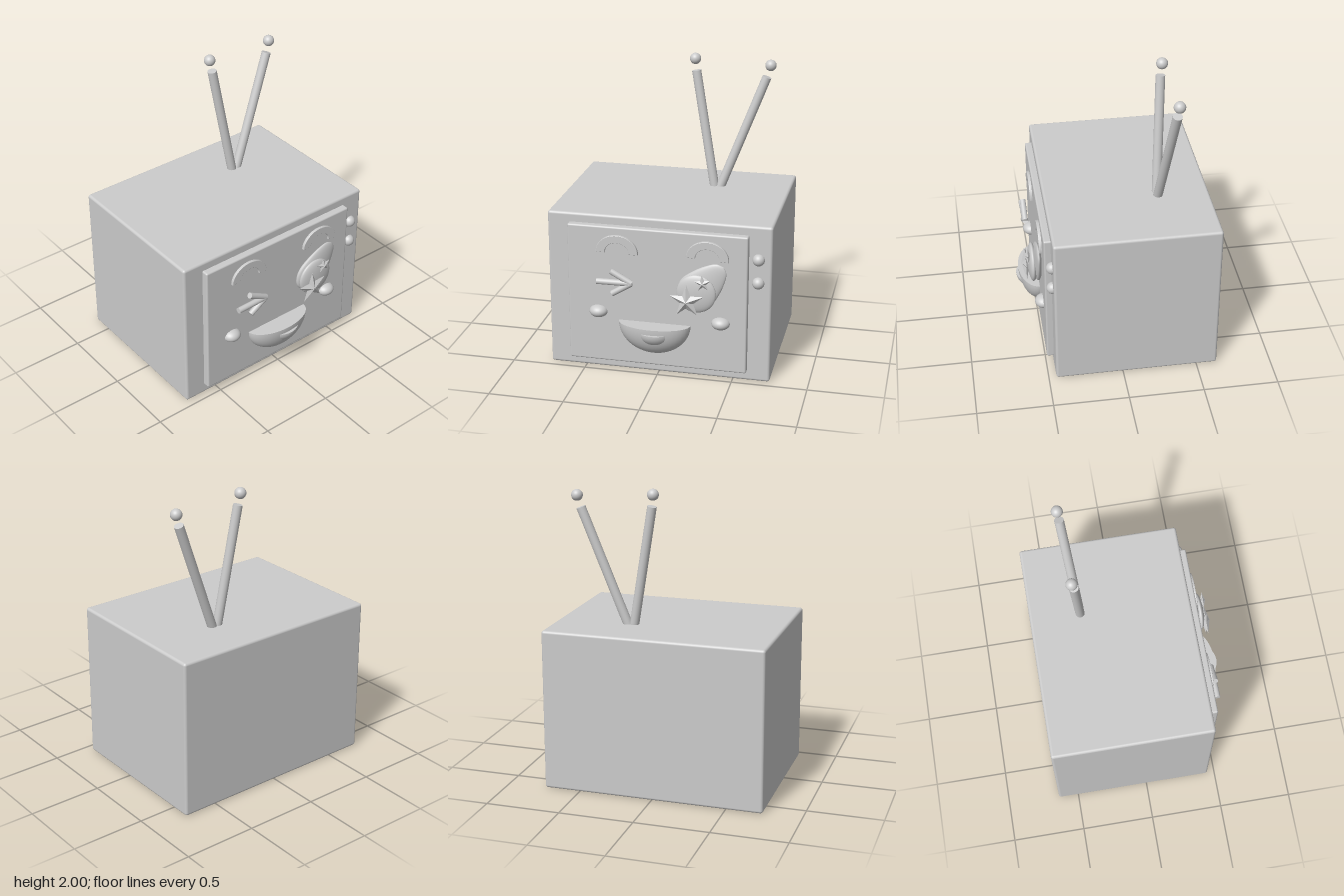
import * as THREE from 'three';
import { RoundedBoxGeometry } from 'three/addons/geometries/RoundedBoxGeometry.js';
import { mergeGeometries } from 'three/addons/utils/BufferGeometryUtils.js';

const grey = new THREE.MeshStandardMaterial({ color: 0xcccccc });
const flatGrey = new THREE.MeshStandardMaterial({ color: 0xcccccc, flatShading: true });

export function createModel() {
  const model = new THREE.Group();

  const add = (name, geometry, position = [0, 0, 0], material = grey) => {
    const mesh = new THREE.Mesh(geometry, material);
    mesh.name = name;
    mesh.position.set(...position);
    model.add(mesh);
    return mesh;
  };
  const ellipsoid = (name, position, rx, ry = rx, rz = rx) =>
    add(name, new THREE.SphereGeometry(1, 32, 20).scale(rx, ry, rz), position);
  // round rod between two points
  const rod = (name, from, to, radius) => {
    const a = new THREE.Vector3(...from), b = new THREE.Vector3(...to);
    const dir = b.clone().sub(a);
    const mesh = add(name, new THREE.CylinderGeometry(radius, radius, dir.length(), 24),
      a.add(b).multiplyScalar(0.5).toArray());
    mesh.quaternion.setFromUnitVectors(new THREE.Vector3(0, 1, 0), dir.normalize());
  };

  // cabinet and raised screen
  add('cabinet', new RoundedBoxGeometry(1.49, 1.085, 1.09, 4, 0.018), [0, 0.5475, -0.095]);
  add('screen', new RoundedBoxGeometry(1.195, 0.955, 0.12, 4, 0.012), [-0.0025, 0.55, 0.435]);

  // knobs
  for (const y of [0.865, 0.705]) ellipsoid('knob', [0.657, y, 0.45], 0.04);

  // antennas with floating tips
  rod('antennaRight', [0.232, 1.03, -0.296], [0.085, 1.885, -0.332], 0.031);
  rod('antennaLeft', [0.245, 1.03, -0.296], [0.562, 1.86, -0.352], 0.031);
  ellipsoid('antennaTipRight', [0.075, 1.963, -0.343], 0.038);
  ellipsoid('antennaTipLeft', [0.585, 1.938, -0.358], 0.038);

  // arched eyebrows
  const arch = new THREE.Shape();
  arch.absarc(0, 0, 0.137, 0, Math.PI, false);
  arch.absarc(0, 0, 0.083, Math.PI, 0, true);
  const browGeometry = new THREE.ExtrudeGeometry(arch, {
    depth: 0.022, curveSegments: 24, bevelSize: 0.003, bevelThickness: 0.004, bevelSegments: 2,
  }).scale(1, 0.86, 1);
  add('eyebrowRight', browGeometry, [-0.265, 0.856, 0.487]).rotation.z = -0.02;
  add('eyebrowLeft', browGeometry, [0.333, 0.861, 0.487]).rotation.z = -0.055;

  // winking eye
  const winkTip = [-0.158, 0.668, 0.548];
  rod('winkBar', [-0.39, 0.668, 0.553], winkTip, 0.02);
  rod('winkBar', [-0.295, 0.745, 0.55], winkTip, 0.02);
  rod('winkBar', [-0.287, 0.588, 0.55], winkTip, 0.02);

  // open eye: flattened egg behind a flattened disc
  const egg = new THREE.CatmullRomCurve3([
    [0, -0.128], [0.07, -0.11], [0.115, -0.06], [0.13, 0], [0.114, 0.09],
    [0.085, 0.17], [0.045, 0.235], [0, 0.255],
  ].map(([r, h]) => new THREE.Vector3(r, h, 0)));
  const profile = egg.getPoints(28).map(p => new THREE.Vector2(Math.max(p.x, 0), p.y));
  const eggGeometry = new THREE.LatheGeometry(profile, 32).scale(1, 1, 0.25).rotateZ(-0.75);
  add('eyeWhite', eggGeometry, [0.267, 0.635, 0.513]);
  ellipsoid('iris', [0.27, 0.635, 0.545], 0.13, 0.13, 0.032);

  // five-pointed stars with a raised centre on both sides
  const starGeometry = (outer, inner, half) => {
    const rim = i => {
      const a = Math.PI / 2 + i * Math.PI / 5, r = i % 2 ? inner : outer;
      return [r * Math.cos(a), r * Math.sin(a), 0];
    };
    const points = [];
    for (let i = 0; i < 10; i++) {
      points.push(0, 0, half, ...rim(i), ...rim(i + 1));
      points.push(0, 0, -half, ...rim(i + 1), ...rim(i));
    }
    const geometry = new THREE.BufferGeometry();
    geometry.setAttribute('position', new THREE.Float32BufferAttribute(points, 3));
    geometry.computeVertexNormals();
    return geometry;
  };
  add('largeStar', starGeometry(0.118, 0.046, 0.03), [0.215, 0.593, 0.585], flatGrey).rotation.z = 0.03;
  add('smallStar', starGeometry(0.057, 0.024, 0.018), [0.317, 0.722, 0.577], flatGrey).rotation.z = 0.1;

  // cheeks
  ellipsoid('cheekRight', [-0.397, 0.43, 0.49], 0.062, 0.043, 0.058);
  ellipsoid('cheekLeft', [0.423, 0.418, 0.49], 0.062, 0.043, 0.058);

  // mouth and tongue: lower half bowls with flat tops
  const bowl = (rx, ry, rz) => mergeGeometries([
    new THREE.SphereGeometry(1, 40, 14, 0, Math.PI * 2, Math.PI / 2, Math.PI / 2),
    new THREE.CircleGeometry(1, 40).rotateX(-Math.PI / 2),
  ]).scale(rx, ry, rz);
  add('mouth', bowl(0.241, 0.21, 0.128), [-0.016, 0.38, 0.493]);
  add('tongue', bowl(0.138, 0.112, 0.145), [-0.005, 0.343, 0.493]);

  return model;
}
